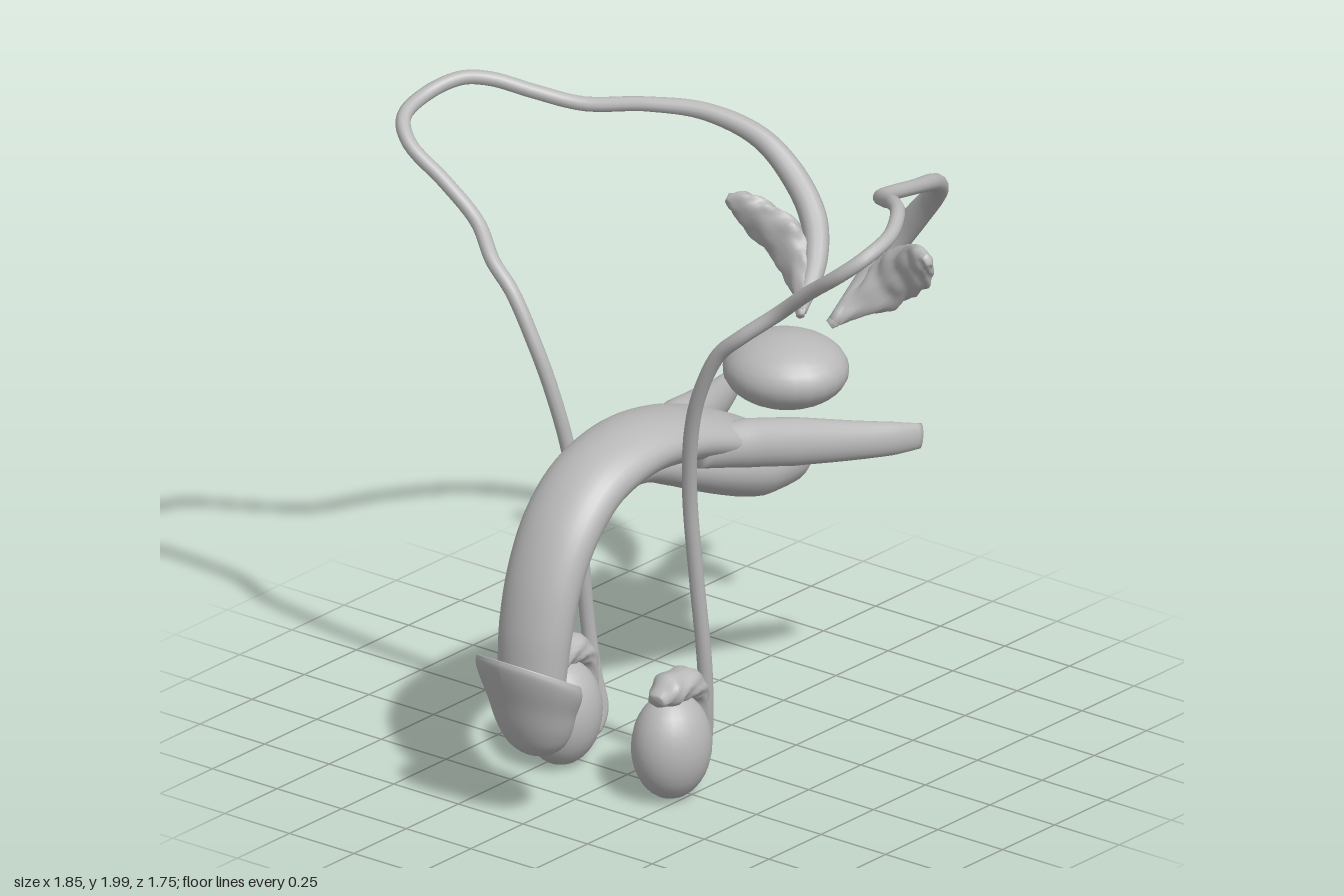
import * as THREE from 'three';

const grey = new THREE.MeshStandardMaterial({ color: 0xb8b8b8 });
grey.name = 'plain grey';

function addMesh(group, name, geometry) {
  const mesh = new THREE.Mesh(geometry, grey);
  mesh.name = name;
  group.add(mesh);
  return mesh;
}

function ellipsoid(group, name, pos, radii, rx = 0) {
  const mesh = addMesh(group, name, new THREE.SphereGeometry(1, 24, 16));
  mesh.position.set(...pos);
  mesh.scale.set(...radii);
  mesh.rotation.x = rx;
  return mesh;
}

// Sweeps an elliptical section along stations [x, y, z, halfWidth, halfHeight].
// The width lies along ref; without ref the frame follows the curve.
function sweep(stations, { ref = null, steps = 48, sides = 20, bump = 0 } = {}) {
  const curve = new THREE.CatmullRomCurve3(stations.map(s => new THREE.Vector3(s[0], s[1], s[2])));
  const pos = [], index = [];
  const last = stations.length - 1;
  const side = new THREE.Vector3(), up = new THREE.Vector3(), p = new THREE.Vector3();
  let previous = new THREE.Vector3(1, 0, 0.2);
  for (let i = -1; i <= steps + 1; i++) {
    const t = Math.min(Math.max(i / steps, 0), 1);
    const k = Math.min(Math.floor(t * last), last - 1), f = t * last - k;
    const closed = i < 0 || i > steps ? 0 : 1; // end caps collapse to a point
    const a = THREE.MathUtils.lerp(stations[k][3], stations[k + 1][3], f) * closed;
    const b = THREE.MathUtils.lerp(stations[k][4], stations[k + 1][4], f) * closed;
    const centre = curve.getPoint(t), tangent = curve.getTangent(t);
    side.copy(ref || previous).addScaledVector(tangent, -tangent.dot(ref || previous)).normalize();
    previous = side.clone();
    up.crossVectors(tangent, side);
    for (let j = 0; j < sides; j++) {
      const ang = (j / sides) * Math.PI * 2;
      const r = 1 + bump * Math.sin(t * 26 + 2 * Math.sin(ang * 2)) * Math.cos(ang * 3 + t * 9);
      p.copy(centre).addScaledVector(side, Math.cos(ang) * a * r).addScaledVector(up, Math.sin(ang) * b * r);
      pos.push(p.x, p.y, p.z);
    }
  }
  for (let i = 0; i < steps + 2; i++) {
    for (let j = 0; j < sides; j++) {
      const a = i * sides + j, b = i * sides + (j + 1) % sides;
      index.push(a, b, a + sides, b, b + sides, a + sides);
    }
  }
  const g = new THREE.BufferGeometry();
  g.setAttribute('position', new THREE.Float32BufferAttribute(pos, 3));
  g.setIndex(index);
  g.computeVertexNormals();
  return g;
}

// Flared cap: a lathe whose rim is sheared so it rises toward the front
function makeGlans() {
  const profile = [[0, -0.265], [0.3, -0.252], [0.55, -0.22], [0.72, -0.165], [0.83, -0.1],
    [0.95, -0.045], [1, -0.01], [0.99, 0.012], [0.93, 0.02], [0.6, -0.01], [0, -0.02]];
  const g = new THREE.LatheGeometry(
    new THREE.SplineCurve(profile.map(q => new THREE.Vector2(...q))).getPoints(40)
      .map(q => new THREE.Vector2(Math.max(q.x, 0), q.y)), 36);
  const p = g.attributes.position;
  for (let i = 0; i < p.count; i++) {
    const y = p.getY(i), z = p.getZ(i) * 0.142;
    const fade = THREE.MathUtils.clamp(1 + y / 0.27, 0, 1);
    p.setXYZ(i, p.getX(i) * 0.172, y + z * 0.55 * fade, z - 0.04 * (1 - fade));
  }
  g.computeVertexNormals();
  return g;
}

export function createModel() {
  const model = new THREE.Group();
  model.name = 'anatomyModel';
  const xAxis = new THREE.Vector3(1, 0, 0);

  // Curved main body
  addMesh(model, 'corporaCavernosa', sweep([
    [0, 0.45, 0.71, 0.115, 0.08], [0, 0.62, 0.69, 0.125, 0.085], [0, 0.78, 0.645, 0.13, 0.085],
    [0, 0.92, 0.565, 0.135, 0.085], [0, 1.025, 0.44, 0.138, 0.085], [0, 1.075, 0.25, 0.145, 0.083],
    [0, 1.06, 0.06, 0.158, 0.08], [0, 1.015, -0.1, 0.175, 0.075], [0, 0.96, -0.25, 0.17, 0.06],
    [0, 0.92, -0.38, 0.12, 0.03],
  ], { ref: xAxis, steps: 60, sides: 32 }));

  // Lower column swelling into the bulb
  addMesh(model, 'corpusSpongiosum', sweep([
    [0, 0.42, 0.65, 0.055, 0.05], [0, 0.6, 0.62, 0.055, 0.05], [0, 0.77, 0.565, 0.055, 0.05],
    [0, 0.9, 0.475, 0.055, 0.05], [0, 0.99, 0.34, 0.058, 0.05], [0, 0.995, 0.18, 0.062, 0.052],
    [0, 0.945, 0.02, 0.075, 0.065], [0, 0.885, -0.16, 0.1, 0.085], [0, 0.84, -0.34, 0.125, 0.105],
    [0, 0.835, -0.47, 0.12, 0.1], [0, 0.85, -0.56, 0.08, 0.065], [0, 0.86, -0.6, 0.02, 0.02],
  ], { ref: xAxis, steps: 66, sides: 24 }));

  addMesh(model, 'glans', makeGlans()).position.set(0, 0.48, 0.722);

  ellipsoid(model, 'prostate', [0, 1.09, -0.51], [0.197, 0.112, 0.183], 0.03);

  for (const s of [1, -1]) {
    const sideName = s > 0 ? 'left' : 'right';
    const half = new THREE.Group();
    half.name = sideName + 'Side';
    model.add(half);
    const mirror = rows => rows.map(([x, ...rest]) => [x * s, ...rest]);

    // Diverging rear leg of the body
    addMesh(half, sideName + 'Crus', sweep(mirror([
      [0.09, 1.02, 0.02, 0.05, 0.06], [0.13, 0.995, -0.15, 0.065, 0.075], [0.185, 0.96, -0.32, 0.06, 0.075],
      [0.26, 0.925, -0.5, 0.045, 0.062], [0.32, 0.905, -0.63, 0.032, 0.052], [0.355, 0.895, -0.715, 0.018, 0.04],
    ]), { ref: xAxis, steps: 30 }));

    ellipsoid(half, sideName + 'Testis', [0.212 * s, 0.178, 0.3], [0.117, 0.168, 0.132]);

    // Crest over the top and back of the testis
    addMesh(half, sideName + 'Epididymis', sweep(mirror([
      [0.22, 0.345, 0.385, 0.03, 0.02], [0.22, 0.365, 0.33, 0.06, 0.05], [0.22, 0.365, 0.25, 0.06, 0.05],
      [0.215, 0.325, 0.195, 0.045, 0.035], [0.21, 0.22, 0.175, 0.035, 0.025], [0.205, 0.12, 0.18, 0.028, 0.025],
      [0.205, 0.08, 0.17, 0.02, 0.02],
    ]), { ref: xAxis, bump: 0.12 }));

    // Long looping duct with a swollen end
    const duct = [
      [0.205, 0.1, 0.19], [0.205, 0.075, 0.16], [0.2, 0.13, 0.128], [0.215, 0.25, 0.14], [0.225, 0.4, 0.158],
      [0.225, 0.7, 0.198], [0.232, 0.98, 0.238], [0.27, 1.2, 0.278], [0.32, 1.35, 0.3], [0.4, 1.5, 0.308],
      [0.48, 1.575, 0.3], [0.58, 1.66, 0.25], [0.7, 1.76, 0.255], [0.83, 1.855, 0.265], [0.89, 1.91, 0.22],
      [0.895, 1.95, 0.1], [0.845, 1.98, 0], [0.78, 1.975, -0.06], [0.68, 1.935, -0.14], [0.58, 1.885, -0.25],
      [0.52, 1.825, -0.48], [0.44, 1.755, -0.68], [0.34, 1.655, -0.81], [0.24, 1.545, -0.845],
      [0.155, 1.43, -0.835], [0.1, 1.32, -0.775], [0.065, 1.21, -0.66],
    ];
    addMesh(half, sideName + 'VasDeferens', sweep(mirror(duct.map((q, i) => {
      const r = i < 21 ? 0.023 : [0.028, 0.034, 0.04, 0.042, 0.036, 0.02][i - 21];
      return [...q, r, r];
    })), { steps: 150, sides: 12 }));

    // Lumpy leaf-shaped gland
    addMesh(half, sideName + 'SeminalVesicle', sweep(mirror([
      [0.055, 1.2, -0.65, 0.015, 0.012], [0.105, 1.255, -0.715, 0.04, 0.025], [0.17, 1.315, -0.765, 0.072, 0.036],
      [0.24, 1.375, -0.775, 0.08, 0.038], [0.31, 1.43, -0.755, 0.07, 0.034], [0.36, 1.465, -0.725, 0.045, 0.026],
      [0.39, 1.48, -0.71, 0.015, 0.012],
    ]), { ref: new THREE.Vector3(-0.65 * s, 0.76, 0), steps: 40, bump: 0.14 }));
  }
  return model;
}
